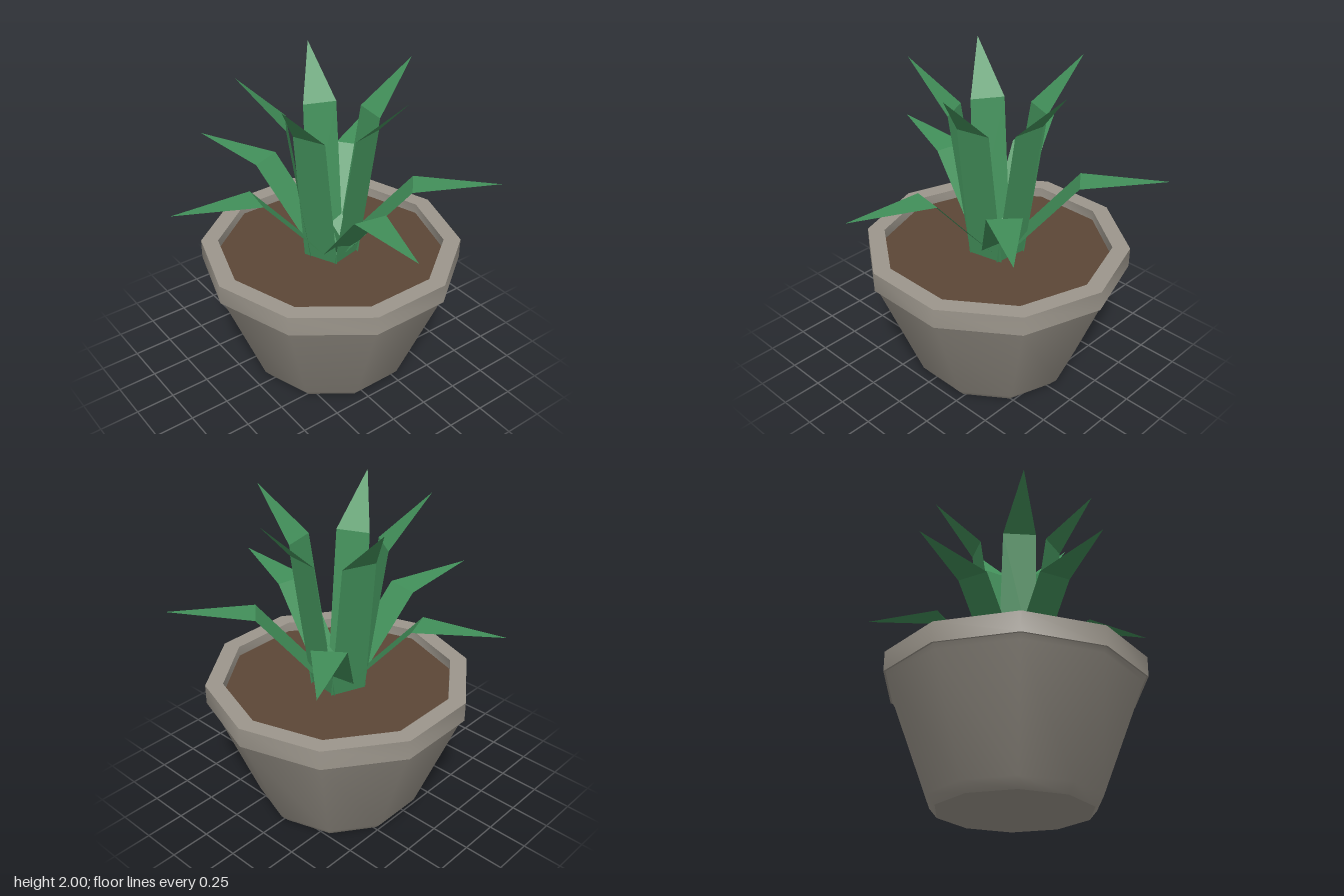
import * as THREE from 'three';
import { toCreasedNormals } from 'three/addons/utils/BufferGeometryUtils.js';

const SOIL_Y = 0.82;

// Ten-sided solid of revolution with a corner on the x axis
function lathe(profile) {
  const points = profile.map(([r, y]) => new THREE.Vector2(r, y));
  return toCreasedNormals(new THREE.LatheGeometry(points, 10, Math.PI / 2), 0.7);
}

// Flat leaf blade growing along +x: a straight strip, a bend, then a pointed tip
function leafGeometry({ baseR, baseHalf, bendR, bendY, bendHalf, tipR, tipY }) {
  const a = [baseR, SOIL_Y, -baseHalf];
  const b = [baseR, SOIL_Y, baseHalf];
  const c = [bendR, bendY, bendHalf];
  const d = [bendR, bendY, -bendHalf];
  const tip = [tipR, tipY, 0];
  const geometry = new THREE.BufferGeometry();
  geometry.setAttribute('position', new THREE.Float32BufferAttribute(
    [a, b, c, a, c, d, d, c, tip].flat(), 3));
  geometry.computeVertexNormals();
  return geometry;
}

export function createModel() {
  const stone = new THREE.MeshStandardMaterial({ name: 'warm grey stone', color: 0x9c968c });
  const earth = new THREE.MeshStandardMaterial({ name: 'brown soil', color: 0x5c4636 });
  const green = new THREE.MeshStandardMaterial({ name: 'leaf green', color: 0x42905a, side: THREE.DoubleSide });

  const plant = new THREE.Group();
  plant.name = 'pottedPlant';
  plant.position.set(0.09, 0, -0.025);

  const add = (name, geometry, material, parent = plant) => {
    const mesh = new THREE.Mesh(geometry, material);
    mesh.name = name;
    parent.add(mesh);
    return mesh;
  };

  // Pot: closed base, flared wall, thick rim and inner lip
  add('pot', lathe([
    [0, 0], [0.475, 0], [0.525, 0.06], [0.787, 0.73], [0.805, 0.76],
    [0.817, 0.76], [0.817, 0.885], [0.71, 0.885], [0.71, SOIL_Y - 0.02],
  ]), stone);

  // Soil surface
  add('soil', lathe([[0.71, SOIL_Y], [0, SOIL_Y]]), earth);

  // Two rings of leaves at uneven angles (degrees from +x towards +z)
  const rings = [
    {
      name: 'innerLeaf', angles: [5.8, 77.8, 155.6, 213.4, 291.2],
      shape: { baseR: 0.13, baseHalf: 0.115, bendR: 0.267, bendY: 1.71, bendHalf: 0.104, tipR: 0.547, tipY: 2 },
    },
    {
      name: 'outerLeaf', angles: [42, 100.3, 189.9, 249.9, 322.8],
      shape: { baseR: 0.06, baseHalf: 0.1, bendR: 0.49, bendY: 1.32, bendHalf: 0.102, tipR: 1.014, tipY: 1.35 },
    },
  ];
  for (const { name, angles, shape } of rings) {
    const ring = new THREE.Group();
    ring.name = name + 'Ring';
    plant.add(ring);
    const geometry = leafGeometry(shape);
    for (const angle of angles) {
      add(name, geometry, green, ring).rotation.y = -THREE.MathUtils.degToRad(angle);
    }
  }

  // Small pointed bud at the heart of the leaves
  const bud = new THREE.ConeGeometry(0.105, 0.2, 4).toNonIndexed();
  bud.computeVertexNormals();
  add('centreBud', bud, green).position.y = SOIL_Y + 0.1;

  const model = new THREE.Group();
  model.name = 'model';
  model.add(plant);
  return model;
}
